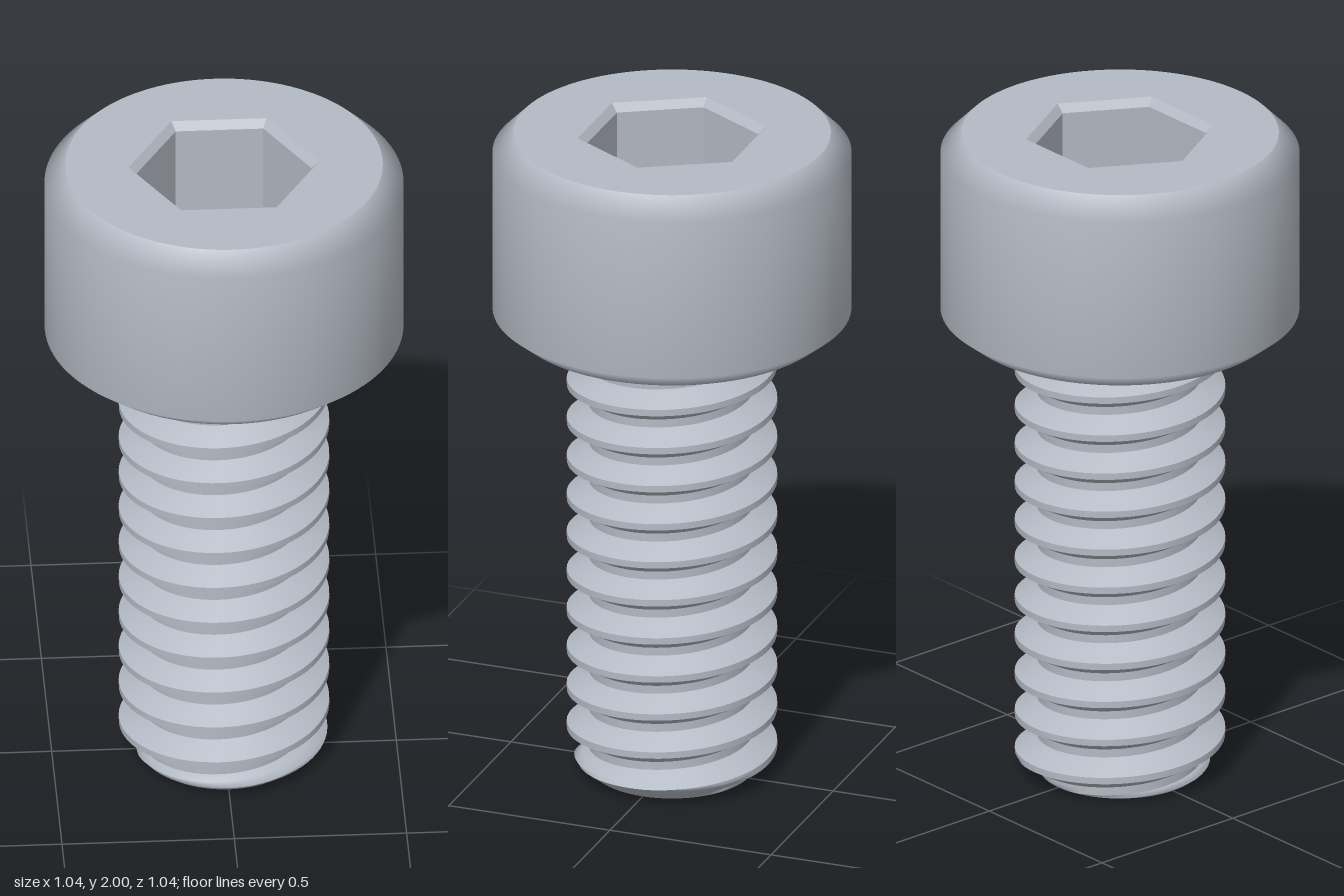
import * as THREE from 'three';

const HEAD_R = 0.52, RIM_R = 0.46, HEAD_Y = 1.4, TOP_Y = 2, CHAMFER = 0.06;
const HEX_R = 0.277, HEX_IN = 0.254, HEX_LIP = 0.023, HEX_DEPTH = 0.3;
const CREST = 0.305, ROOT = 0.24, TIP = 0.235, PITCH = 0.12, PHASE = 0.04;

// Thread profile over one pitch, as [height offset, radius], starting at the crest
const PROFILE = [[-0.01, CREST], [0.01, CREST], [0.0475, ROOT], [0.0725, ROOT], [0.11, CREST]];

const flatten = (geometry) => {
  const g = geometry.toNonIndexed();
  g.computeVertexNormals();
  return g;
};

// Radius of the thread at a height measured from the crest line
function threadRadius(offset) {
  const h = offset - PITCH * Math.floor((offset + 0.01) / PITCH);
  for (let i = 0; i < 4; i++) {
    const [h0, r0] = PROFILE[i], [h1, r1] = PROFILE[i + 1];
    if (h <= h1) return THREE.MathUtils.lerp(r0, r1, (h - h0) / (h1 - h0));
  }
  return CREST;
}

// One helical band of the thread, cut off by the head, the tip and its chamfer
function threadBand([h0], [h1]) {
  const rows = 3, perTurn = 72, turns = 14, steps = perTurn * turns;
  const pos = [], index = [];
  for (let i = 0; i <= steps; i++) {
    const turn = i / perTurn - 2, a = turn * Math.PI * 2;
    for (let j = 0; j <= rows; j++) {
      const base = PHASE + PITCH * turn;
      const y = THREE.MathUtils.clamp(base + THREE.MathUtils.lerp(h0, h1, j / rows), 0, HEAD_Y);
      const r = Math.min(threadRadius(y - base), TIP + y * 1.3);
      pos.push(r * Math.cos(a), y, -r * Math.sin(a));
      if (i === steps || j === rows) continue;
      const p = i * (rows + 1) + j, q = p + rows + 1;
      index.push(p, q, q + 1, p, q + 1, p + 1);
    }
  }
  // Drop the triangles squashed flat by the cut
  const kept = [];
  const Y = (k) => pos[k * 3 + 1];
  for (let k = 0; k < index.length; k += 3) {
    const t = index.slice(k, k + 3);
    if (t.every((v) => Y(v) <= 0) || t.every((v) => Y(v) >= HEAD_Y)) continue;
    kept.push(...t);
  }
  const g = new THREE.BufferGeometry();
  g.setAttribute('position', new THREE.Float32BufferAttribute(pos, 3));
  g.setIndex(kept);
  g.computeVertexNormals();
  return g;
}

// Inward-facing hexagonal wall with corners on the x axis
function hexWall(rTop, rBottom, yTop, yBottom) {
  const g = new THREE.CylinderGeometry(rTop, rBottom, yTop - yBottom, 6, 1, true);
  g.rotateY(Math.PI / 6);
  const inside = g.toNonIndexed();
  inside.translate(0, (yTop + yBottom) / 2, 0);
  // Swap two corners of each triangle to turn the wall inside out
  const p = inside.attributes.position;
  const a = new THREE.Vector3(), b = new THREE.Vector3();
  for (let i = 0; i < p.count; i += 3) {
    a.fromBufferAttribute(p, i);
    b.fromBufferAttribute(p, i + 1);
    p.setXYZ(i, b.x, b.y, b.z);
    p.setXYZ(i + 1, a.x, a.y, a.z);
  }
  inside.computeVertexNormals();
  return inside;
}

export function createModel() {
  const steel = new THREE.MeshStandardMaterial({ color: 0xb4bac4 });
  steel.name = 'steel';
  const model = new THREE.Group();
  model.name = 'socketHeadScrew';
  const head = new THREE.Group(), shank = new THREE.Group();
  head.name = 'head';
  shank.name = 'threadedShank';
  model.add(head, shank);
  const add = (parent, name, geometry) => {
    const mesh = new THREE.Mesh(geometry, steel);
    mesh.name = name;
    parent.add(mesh);
  };

  // Head side with softly shaded chamfers
  const side = [
    [RIM_R, HEAD_Y], [HEAD_R, HEAD_Y + CHAMFER * 0.8],
    [HEAD_R, TOP_Y - CHAMFER], [RIM_R, TOP_Y],
  ].map(([r, y]) => new THREE.Vector2(r, y));
  add(head, 'headSide', new THREE.LatheGeometry(side, 96));

  // Underside ring
  add(head, 'headUnderside',
    new THREE.RingGeometry(0.2, RIM_R, 96).rotateX(Math.PI / 2).translate(0, HEAD_Y, 0));

  // Top face with the hexagonal opening
  const top = new THREE.Shape().absarc(0, 0, RIM_R, 0, Math.PI * 2);
  const corners = [];
  for (let i = 0; i < 6; i++) {
    const a = -i * Math.PI / 3;
    corners.push(new THREE.Vector2(HEX_R * Math.cos(a), HEX_R * Math.sin(a)));
  }
  top.holes.push(new THREE.Path(corners));
  add(head, 'headTop',
    new THREE.ShapeGeometry(top, 96).rotateX(-Math.PI / 2).translate(0, TOP_Y, 0));

  // Hexagonal socket
  const lipY = TOP_Y - HEX_LIP, floorY = TOP_Y - HEX_DEPTH;
  add(head, 'socketLip', hexWall(HEX_R, HEX_IN, TOP_Y, lipY));
  add(head, 'socketWall', hexWall(HEX_IN, HEX_IN, lipY, floorY));
  add(head, 'socketFloor',
    flatten(new THREE.CircleGeometry(HEX_IN, 6).rotateX(-Math.PI / 2)).translate(0, floorY, 0));

  // Thread: crest, two flanks and root
  ['threadCrest', 'threadUpperFlank', 'threadRoot', 'threadLowerFlank'].forEach((name, i) =>
    add(shank, name, threadBand(PROFILE[i], PROFILE[i + 1])));

  // Flat tip
  add(shank, 'tip', new THREE.CircleGeometry(TIP, 72).rotateX(Math.PI / 2));
  return model;
}
